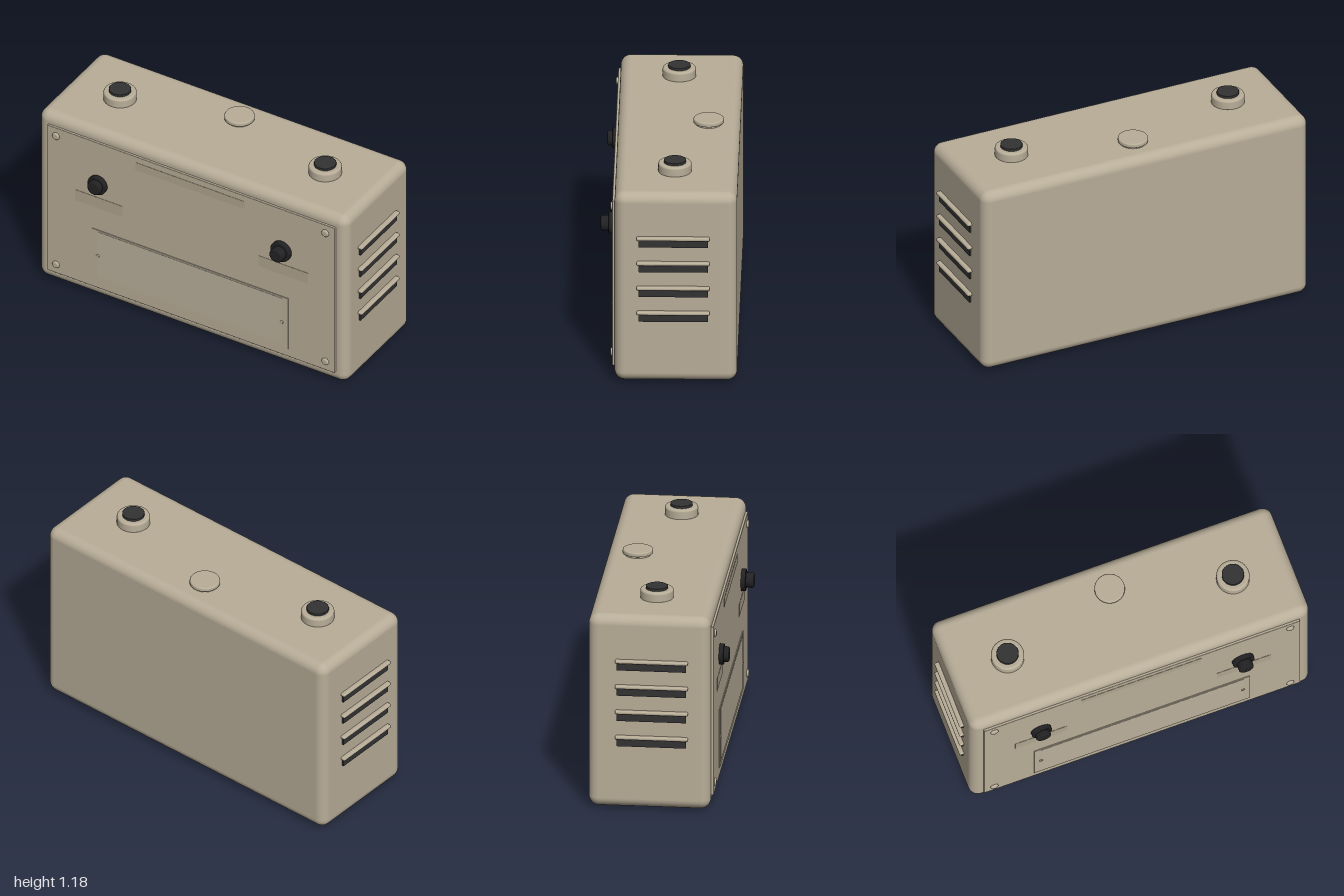
import * as THREE from 'three';
import { RoundedBoxGeometry } from 'three/addons/geometries/RoundedBoxGeometry.js';

const mat = (name, color) => Object.assign(new THREE.MeshStandardMaterial({ color }), { name });

export function createModel() {
  const group = new THREE.Group();
  const beige = mat('beige enamel', 0xb8ad98);
  const plate = mat('pale beige', 0xbab09c);
  const label = mat('label beige', 0xb0a590);
  const dark = mat('dark grey', 0x333333);
  const black = mat('black plastic', 0x222224);

  const add = (name, geometry, material, x, y, z) => {
    const mesh = new THREE.Mesh(geometry, material);
    mesh.name = name;
    mesh.position.set(x, y, z);
    group.add(mesh);
    return mesh;
  };
  // Box given by its extents
  const box = (name, material, x0, x1, y0, y1, z0, z1) =>
    add(name, new THREE.BoxGeometry(x1 - x0, y1 - y0, z1 - z0), material,
      (x0 + x1) / 2, (y0 + y1) / 2, (z0 + z1) / 2);
  // Turned part: straight wall, rounded top edge, flat cap with a crisp rim
  const turned = (r, h, e, seg = 40) => {
    const pts = [new THREE.Vector2(0, 0), new THREE.Vector2(r, 0), new THREE.Vector2(r, 0.0005)];
    for (let i = 0; i <= 4; i++) {
      const a = (i / 4) * Math.PI / 2;
      pts.push(new THREE.Vector2(r - e + e * Math.cos(a), h - e + e * Math.sin(a)));
    }
    pts.push(new THREE.Vector2((r - e) * 0.97, h), new THREE.Vector2(0, h));
    return new THREE.LatheGeometry(pts, seg);
  };
  const forward = (mesh) => { mesh.rotation.x = Math.PI / 2; return mesh; };

  // Case
  add('case', new RoundedBoxGeometry(1.95, 1.1, 0.66, 5, 0.055), beige, 0, 0.56, -0.04);

  // Front panel with corner screws
  add('frontPanel', new RoundedBoxGeometry(1.815, 0.965, 0.03, 2, 0.004), beige, 0, 0.56, 0.288);
  for (const x of [-0.85, 0.85]) for (const y of [0.135, 0.99])
    forward(add('panelScrew', turned(0.022, 0.013, 0.009, 24), beige, x, y, 0.301));

  // Painted label strips
  box('topLabel', label, -0.35, 0.34, 0.955, 1.005, 0.3, 0.3045);
  box('leftLabel', label, -0.73, -0.43, 0.61, 0.68, 0.3, 0.3045);
  box('rightLabel', label, 0.43, 0.74, 0.61, 0.68, 0.3, 0.3045);

  // Lower cover plate with two small screws
  box('coverFrame', beige, -0.622, 0.616, 0.13, 0.465, 0.3, 0.3075);
  box('coverPlate', plate, -0.585, 0.58, 0.155, 0.455, 0.3, 0.309);
  for (const x of [-0.583, 0.577])
    forward(add('coverScrew', turned(0.01, 0.006, 0.004, 16), beige, x, 0.296, 0.307));

  // Control knobs: wide collar and rounded cap
  for (const [x, tip, r] of [[-0.583, 0.356, 0.057], [0.576, 0.371, 0.061]]) {
    forward(add('knobCollar', turned(r, 0.026, 0.005), black, x, 0.771, 0.302));
    forward(add('knobCap', turned(0.042, tip - 0.32, 0.01), black, x, 0.771, 0.32));
  }

  // Top sockets with dark plugs
  for (const x of [-0.65, 0.645]) {
    add('topSocket', turned(0.09, 0.052, 0.012), beige, x, 1.11, -0.03);
    add('socketPlug', turned(0.06, 0.02, 0.003), dark, x, 1.156, -0.03);
  }

  // Filler cap
  add('capStem', new THREE.CylinderGeometry(0.07, 0.07, 0.014, 40), beige, 0, 1.116, -0.2);
  add('cap', turned(0.082, 0.022, 0.007), beige, 0, 1.122, -0.2);

  // Side louvres: hood above a dark opening
  for (const s of [-1, 1]) for (let i = 0; i < 4; i++) {
    const y = 0.855 - i * 0.145;
    add('louvreHood', new RoundedBoxGeometry(0.032, 0.02, 0.394, 3, 0.009), beige, s * 0.984, y, -0.026);
    add('louvreOpening', new THREE.BoxGeometry(0.014, 0.05, 0.375), dark, s * 0.979, y - 0.026, -0.027);
  }

  // Underside vent slots
  for (let i = 0; i < 5; i++) {
    const x = (i - 2) * 0.319 - 0.003;
    box('bottomVent', black, x - 0.127, x + 0.127, 0, 0.012, -0.097, -0.05);
  }
  return group;
}
